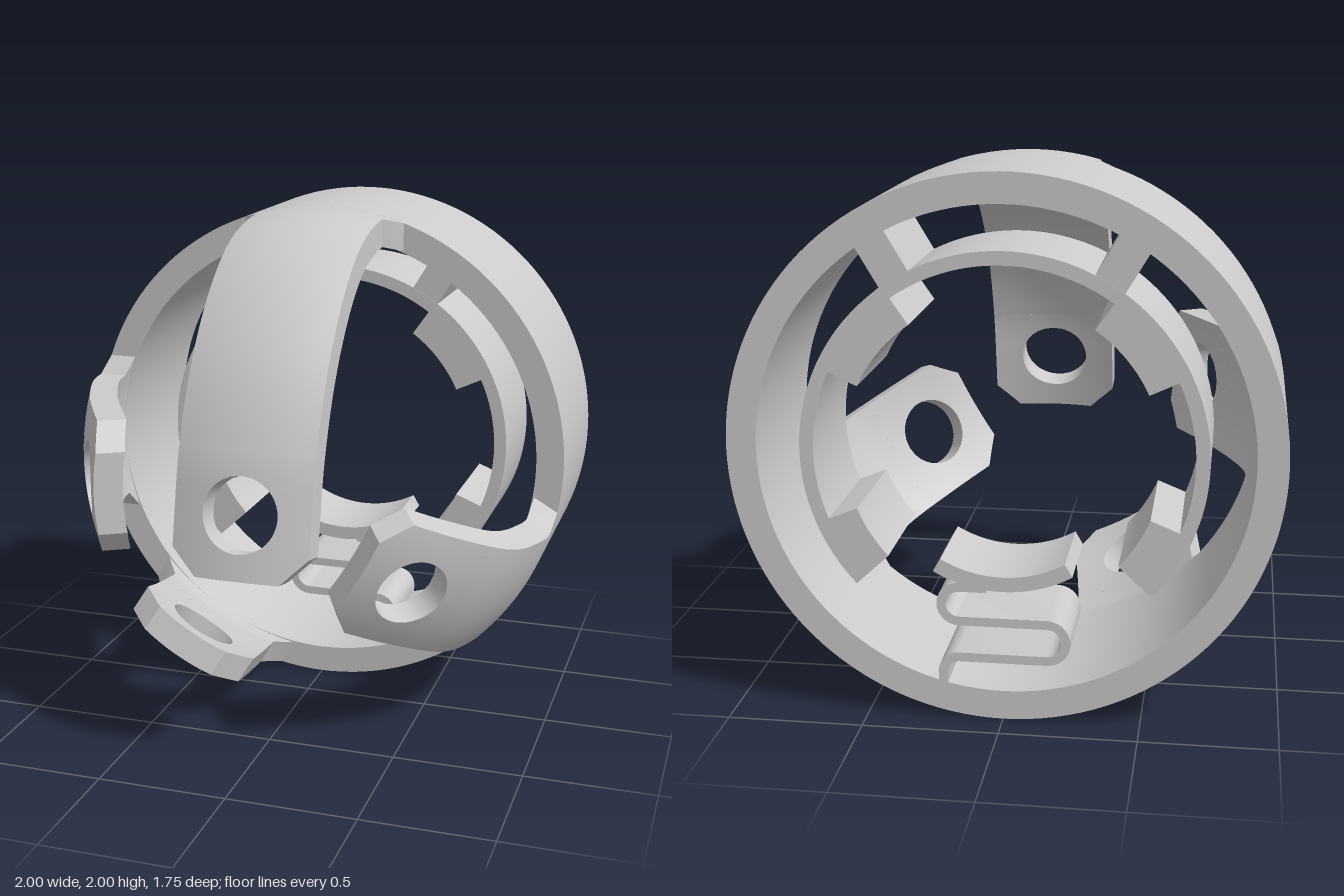
import * as THREE from 'three';
import { toCreasedNormals } from 'three/addons/utils/BufferGeometryUtils.js';

const BACK = -0.88, FRONT = -0.2, INNER_FRONT = -0.4;
const HALF = 0.26, THICK = 0.11, TIP_HALF = 0.16, CHAMFER = 0.1;
const rad = THREE.MathUtils.degToRad;
const material = new THREE.MeshStandardMaterial({ color: 0xcccccc });

function part(name, geometry) {
  const flat = geometry.index ? geometry.toNonIndexed() : geometry;
  const mesh = new THREE.Mesh(toCreasedNormals(flat, 0.6), material);
  mesh.name = name;
  return mesh;
}

// Flat shape in the ring plane, extruded from z0 to z1
function slab(name, shape, z0, z1) {
  const geometry = new THREE.ExtrudeGeometry(shape, {
    depth: z1 - z0, bevelEnabled: false, curveSegments: 64,
  });
  return part(name, geometry.translate(0, 0, z0));
}

// Piece of a ring between two radii and two angles (degrees)
function sector(name, r0, r1, a0, a1, z0, z1) {
  const shape = new THREE.Shape();
  shape.absarc(0, 0, r1, rad(a0), rad(a1), false);
  shape.absarc(0, 0, r0, rad(a1), rad(a0), true);
  return slab(name, shape, z0, z1);
}

// Surface through rows of closed loops
function loft(rows, closeRows) {
  const n = rows[0].length, index = [];
  const last = closeRows ? rows.length : rows.length - 1;
  for (let i = 0; i < last; i++) {
    const i2 = (i + 1) % rows.length;
    for (let j = 0; j < n; j++) {
      const j2 = (j + 1) % n;
      const a = i * n + j, b = i * n + j2, c = i2 * n + j, d = i2 * n + j2;
      index.push(a, c, b, b, c, d);
    }
  }
  const geometry = new THREE.BufferGeometry().setFromPoints(rows.flat());
  geometry.setIndex(index);
  return geometry;
}

// Curved arm following a profile of [radius, z], with a holed, chamfered tip
function claw(name, angle, profile) {
  const path = new THREE.CatmullRomCurve3(profile.map(([u, z]) => new THREE.Vector3(0, u, z)));
  path.arcLengthDivisions = 400;
  const length = path.getLength();
  const place = (s, v, depth) => {
    const t = THREE.MathUtils.clamp(s / length, 0, 1);
    const p = path.getPointAt(t), tan = path.getTangentAt(t);
    const d = 1 - Math.sqrt(1 - v * v) + depth;
    return new THREE.Vector3(v, p.y - d * tan.z, p.z + d * tan.y);
  };
  const holeS = length - 0.24, panelS = length - 0.46;

  // arm, flaring where it meets the ring
  const stations = [0, 0.07];
  for (let i = 1; i <= 24; i++) stations.push(0.07 + (panelS - 0.07) * i / 24);
  const armRows = stations.map((s, i) => {
    const half = i === 0 ? 0.33 : HALF, row = [];
    for (let j = 0; j <= 10; j++) row.push(place(s, half * (j / 5 - 1), 0));
    for (let j = 10; j >= 0; j--) row.push(place(s, half * (j / 5 - 1), THICK));
    return row;
  });

  // tip plate: loops running from the hole edge out to the border
  const corners = [
    [HALF, panelS], [HALF, length - CHAMFER], [TIP_HALF, length],
    [-TIP_HALF, length], [-HALF, length - CHAMFER], [-HALF, panelS],
  ];
  const tipRows = [];
  corners.forEach(([v0, s0], k) => {
    const [v1, s1] = corners[(k + 1) % corners.length];
    for (let i = 0; i < 8; i++) {
      const v = v0 + (v1 - v0) * i / 8, s = s0 + (s1 - s0) * i / 8;
      const a = Math.atan2(s - holeS, v);
      const hv = 0.142 * Math.cos(a), hs = holeS + 0.142 * Math.sin(a);
      const at = (f, depth) => place(hs + (s - hs) * f, hv + (v - hv) * f, depth);
      const steps = [0, 1 / 3, 2 / 3, 1];
      tipRows.push([
        ...steps.map((f) => at(f, 0)),
        ...steps.slice().reverse().map((f) => at(f, THICK)),
      ]);
    }
  });

  const group = new THREE.Group();
  group.name = name;
  group.add(part('arm', loft(armRows, false)), part('tipPlate', loft(tipRows, true)));
  group.rotation.z = rad(angle - 90);
  return group;
}

// Serpentine leaf spring: a bent centre line thickened to a band
function spring() {
  const line = [new THREE.Vector2(0.06, -0.495)];
  const bend = (cx, cy, r, a0, a1) => {
    for (let i = 0; i <= 14; i++) {
      const a = rad(a0 + (a1 - a0) * i / 14);
      line.push(new THREE.Vector2(cx + r * Math.cos(a), cy + r * Math.sin(a)));
    }
  };
  bend(0.16, -0.56, 0.065, 90, -90);
  bend(-0.16, -0.695, 0.07, 90, 270);
  bend(0.16, -0.825, 0.06, 90, 0);
  line.push(new THREE.Vector2(0.22, -0.89));
  const side = (sign) => line.map((p, i) => {
    const t = line[Math.min(i + 1, line.length - 1)].clone().sub(line[Math.max(i - 1, 0)]).normalize();
    return new THREE.Vector2(p.x - t.y * 0.017 * sign, p.y + t.x * 0.017 * sign);
  });
  return slab('spring', new THREE.Shape([...side(1), ...side(-1).reverse()]), BACK, -0.52);
}

export function createModel() {
  const model = new THREE.Group();
  model.name = 'clawedRing';
  const body = new THREE.Group();
  body.name = 'body';
  body.position.y = 1;
  model.add(body);

  // outer ring
  const ring = new THREE.Shape().absarc(0, 0, 1, 0, Math.PI * 2, false);
  ring.holes.push(new THREE.Path().absarc(0, 0, 0.89, 0, Math.PI * 2, true));
  body.add(slab('outerRing', ring, BACK, FRONT));

  // open inner ring with struts and grip pads on both sides
  body.add(sector('innerRing', 0.68, 0.73, -43, 223, BACK, INNER_FRONT));
  for (const side of [1, -1]) {
    const mid = 90 - side * 31;
    const strut = part('strut', new THREE.BoxGeometry(0.19, 0.12, INNER_FRONT - BACK - 0.004));
    strut.position.set(0.81 * Math.cos(rad(mid)), 0.81 * Math.sin(rad(mid)), (BACK + INNER_FRONT) / 2);
    strut.rotation.z = rad(mid);
    body.add(strut);
    for (const [name, a0, a1] of [['upperPad', 25, 55], ['lowerPad', -43, -22]]) {
      const [from, to] = side > 0 ? [a0, a1] : [180 - a1, 180 - a0];
      body.add(sector(name, 0.567, 0.685, from, to, BACK, INNER_FRONT));
    }
  }

  // sprung pad at the bottom
  body.add(sector('springPad', 0.45, 0.505, 240, 300, BACK, -0.52), spring());

  // four claws, each bent differently
  const root = [[1, FRONT], [1, -0.13]];
  body.add(
    claw('topClaw', 90, [...root, [0.985, 0], [0.93, 0.19], [0.79, 0.4], [0.54, 0.615], [0.24, 0.76], [0, 0.82], [-0.21, 0.865]]),
    claw('rightClaw', 180, [...root, [0.985, -0.03], [0.94, 0.1], [0.85, 0.3], [0.72, 0.53], [0.63, 0.68]]),
    claw('lowerRightClaw', 240, [...root, [0.975, -0.02], [0.915, 0.2], [0.835, 0.43]]),
    claw('lowerLeftClaw', -30, [...root, [0.985, -0.02], [0.9, 0.24], [0.7, 0.46], [0.46, 0.65]]),
  );
  return model;
}
